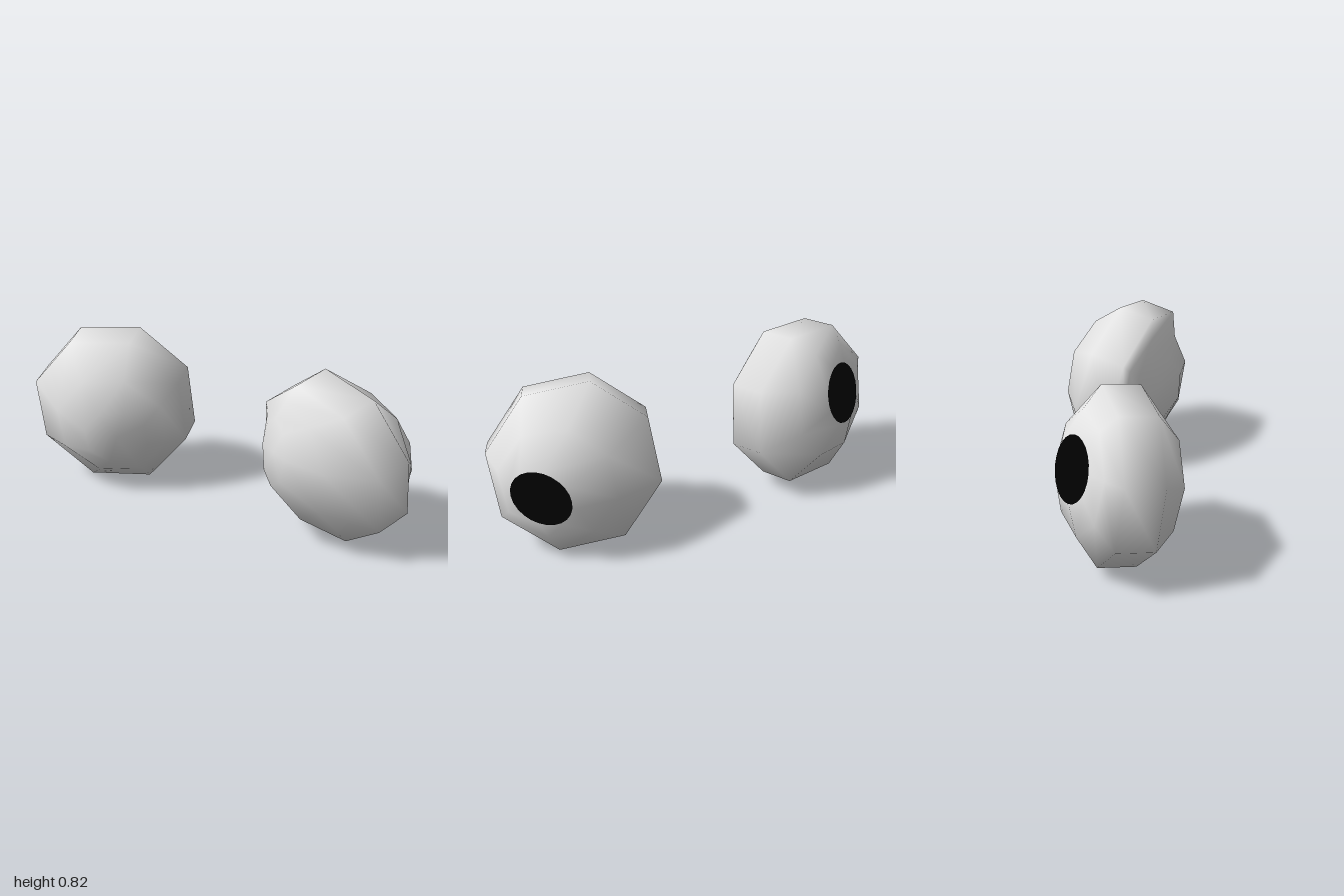
import * as THREE from 'three';

const white = new THREE.MeshStandardMaterial({ color: 0xe4e4e4 });
white.name = 'eyeWhite';
const black = new THREE.MeshStandardMaterial({ color: 0x010101 });
black.name = 'pupilBlack';

const SIDES = 8;
const vec = (p) => new THREE.Vector3(...p);

// Axes of a ring: y along its normal, z towards its first corner
function ringBasis(normal, corner) {
  const z = corner.clone().addScaledVector(normal, -corner.dot(normal)).normalize();
  return new THREE.Matrix4().makeBasis(new THREE.Vector3().crossVectors(normal, z), normal, z);
}

// Eight-sided ball through a stack of tilted rings, ordered front to rear
function ballGeometry(rings, corner) {
  const positions = [];
  const index = [];
  for (const { center, normal, radius } of rings) {
    const basis = ringBasis(normal, corner);
    for (let j = 0; j < SIDES; j++) {
      const a = (j / SIDES) * Math.PI * 2;
      const p = new THREE.Vector3(Math.sin(a), 0, Math.cos(a)).multiplyScalar(radius);
      positions.push(...p.applyMatrix4(basis).add(center));
    }
  }
  const last = rings.length - 1;
  const frontPole = rings.length * SIDES;
  positions.push(...rings[0].center, ...rings[last].center);
  for (let j = 0; j < SIDES; j++) {
    const k = (j + 1) % SIDES;
    for (let i = 0; i < last; i++) {
      const a = i * SIDES + j, b = i * SIDES + k;
      index.push(a, b, b + SIDES, a, b + SIDES, a + SIDES);
    }
    index.push(frontPole, k, j);
    index.push(frontPole + 1, last * SIDES + j, last * SIDES + k);
  }
  const geometry = new THREE.BufferGeometry();
  geometry.setAttribute('position', new THREE.Float32BufferAttribute(positions, 3));
  geometry.setIndex(index);
  geometry.computeVertexNormals();
  return geometry;
}

// axis: normal of the broad rim, gaze: normal of the pupil,
// pupilAt: pupil centre, corner: direction of one rim corner
function makeEye(name, spec) {
  const axis = vec(spec.axis).normalize();
  const gaze = vec(spec.gaze).normalize();
  const corner = vec(spec.corner);
  const pupilAt = vec(spec.pupilAt);
  const sideways = pupilAt.clone().addScaledVector(axis, -pupilAt.dot(axis));

  // Rim, shoulder and flat cap lean over towards the pupil
  const rear = [
    { center: axis.clone().multiplyScalar(0.09), normal: axis, radius: spec.radius },
    {
      center: axis.clone().multiplyScalar(0.19).addScaledVector(sideways, 0.5),
      normal: axis.clone().add(gaze).normalize(),
      radius: spec.radius * 0.69,
    },
    { center: pupilAt, normal: gaze, radius: 0.16 },
  ];
  // The front repeats the rear through the centre
  const front = rear.map((r) => ({ ...r, center: r.center.clone().negate() })).reverse();

  const ball = new THREE.Mesh(ballGeometry([...front, ...rear], corner), white);
  ball.name = 'eyeball';

  // Thin round pupil on the rear cap
  const disc = new THREE.CircleGeometry(0.15, 24).rotateX(-Math.PI / 2).translate(0, 0.004, 0);
  disc.applyMatrix4(ringBasis(gaze, corner).setPosition(pupilAt));
  const pupil = new THREE.Mesh(disc, black);
  pupil.name = 'pupil';

  const eye = new THREE.Group();
  eye.name = name;
  eye.add(ball, pupil);
  eye.position.set(...spec.position);
  return eye;
}

export function createModel() {
  const model = new THREE.Group();
  model.name = 'eyes';
  model.add(makeEye('rightEye', {
    position: [-0.625, 0.43, 0.05], radius: 0.405,
    axis: [-0.35, 0.11, -0.93], corner: [-0.28, -0.78, -0.025],
    gaze: [-0.54, 0.25, -0.8], pupilAt: [-0.145, 0.095, -0.185],
  }));
  model.add(makeEye('leftEye', {
    position: [0.6, 0.415, -0.04], radius: 0.41,
    axis: [0.315, 0.23, -0.92], corner: [0.09, -0.415, 0.01],
    gaze: [0.65, -0.12, -0.75], pupilAt: [0.225, -0.037, -0.188],
  }));
  return model;
}
